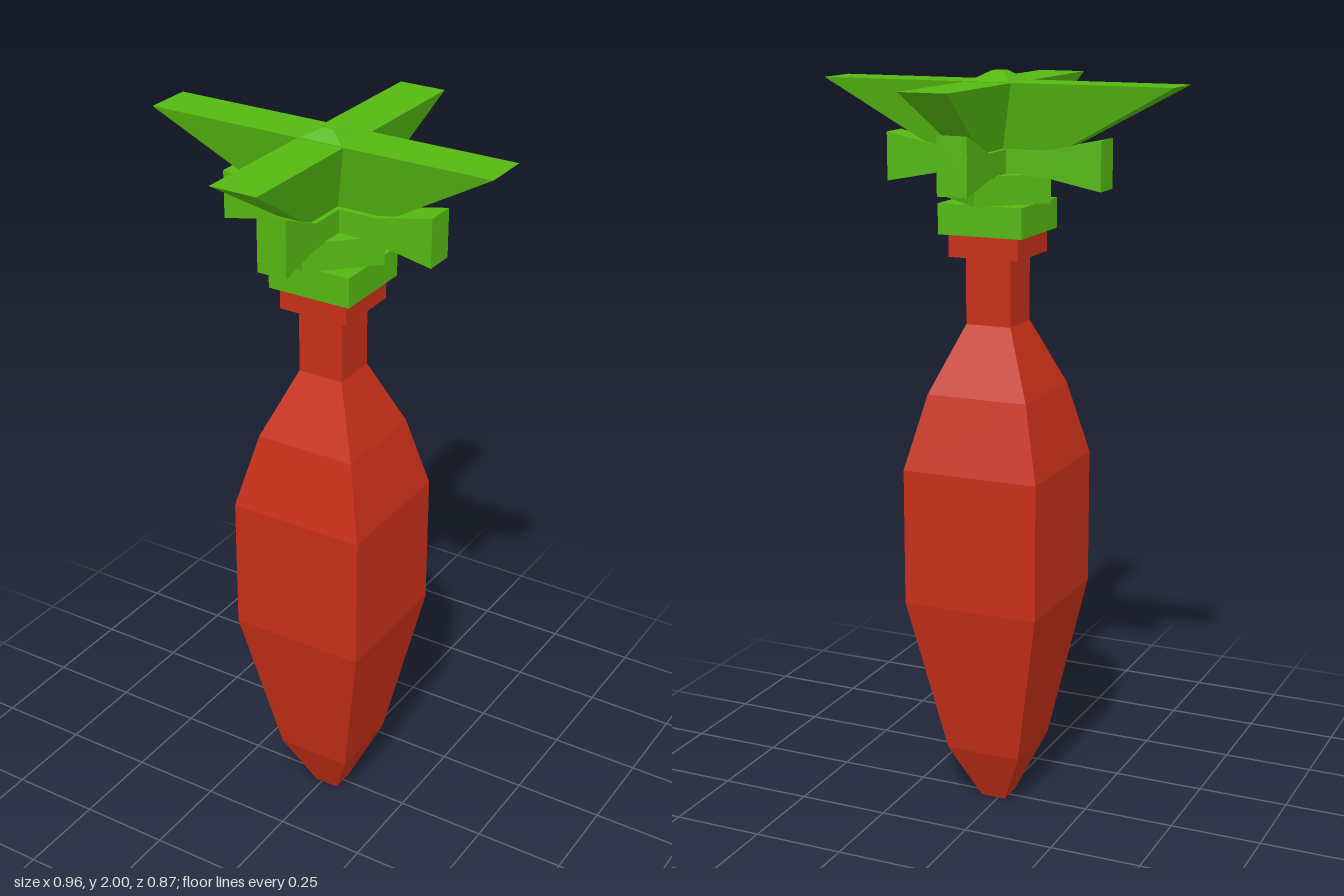
import * as THREE from 'three';

const red = new THREE.MeshStandardMaterial({ color: 0xc83018, flatShading: true });
const green = new THREE.MeshStandardMaterial({ color: 0x55b812, flatShading: true });
const CX = 0.015;

// Solid through rectangular sections [y, halfX, halfZ, offsetX, offsetZ], listed bottom to top
function loft(name, sections, material) {
  const pos = [], idx = [];
  for (const [y, hx, hz, ox = 0, oz = 0] of sections) {
    for (const [sx, sz] of [[1, 1], [1, -1], [-1, -1], [-1, 1]]) pos.push(ox + sx * hx, y, oz + sz * hz);
  }
  const n = sections.length;
  for (let s = 0; s < n - 1; s++) {
    for (let i = 0; i < 4; i++) {
      const a = s * 4 + i, b = s * 4 + (i + 1) % 4;
      idx.push(a, b, b + 4, a, b + 4, a + 4);
    }
  }
  const t = (n - 1) * 4;
  idx.push(0, 2, 1, 0, 3, 2, t, t + 1, t + 2, t, t + 2, t + 3);
  const indexed = new THREE.BufferGeometry();
  indexed.setAttribute('position', new THREE.Float32BufferAttribute(pos, 3));
  indexed.setIndex(idx);
  const geometry = indexed.toNonIndexed();
  geometry.computeVertexNormals();
  const mesh = new THREE.Mesh(geometry, material);
  mesh.name = name;
  return mesh;
}

const square = (list) => list.map(([y, h]) => [y, h, h]);

export function createModel() {
  const group = new THREE.Group();
  group.name = 'stemmedPod';

  // Four-sided swelling body with its neck
  const body = loft('body', square([
    [0, 0.035], [0.16, 0.105], [0.6, 0.189], [0.97, 0.189],
    [1.17, 0.14], [1.35, 0.063], [1.53, 0.063],
  ]), red);
  const neckRim = loft('neckRim', square([[1.53, 0.097], [1.59, 0.097]]), red);
  const collar = loft('collar', square([[1.59, 0.117], [1.67, 0.117]]), green);
  for (const part of [body, neckRim, collar]) {
    part.position.set(CX, 0, 0.003);
    group.add(part);
  }

  // Diamond-shaped seat under the leaves
  const seat = new THREE.Mesh(new THREE.CylinderGeometry(0.148, 0.148, 0.075, 4), green);
  seat.name = 'leafSeat';
  seat.position.set(CX, 1.7075, 0.003);
  group.add(seat);

  // Small leaves flaring outward, with square ends
  const leaves = [
    { angle: 0, top: 1.86, reach: 0.277 },
    { angle: Math.PI / 2, top: 1.838, reach: 0.3 },
    { angle: Math.PI, top: 1.86, reach: 0.277 },
    { angle: -Math.PI / 2, top: 1.838, reach: 0.3 },
  ];
  for (const { angle, top, reach } of leaves) {
    const mid = (top + 1.71) / 2;
    const leaf = loft('smallLeaf', [
      [0, 0.041, 0.033, 0, 1.773 * -1],
      [0.145, 0.041, 0.033, 0, 1.773 * -1],
      [reach, 0.041, (top - 1.71) / 2, 0, -mid],
    ], green);
    leaf.geometry.rotateX(Math.PI / 2);
    leaf.rotation.y = angle;
    leaf.position.set(CX, 0, 0.003);
    group.add(leaf);
  }

  // Crossed large leaves, flat above and wedge-shaped below
  group.add(loft('largeLeavesAcross', [
    [1.71, 0.012, 0.006, CX, 0], [1.975, 0.481, 0.065, 0, 0],
  ], green));
  group.add(loft('largeLeavesFrontBack', [
    [1.71, 0.006, 0.012, CX, 0], [1.974, 0.065, 0.433, CX, 0],
  ], green));

  // Low peak where the large leaves cross
  group.add(loft('peak', [
    [1.97, 0.065, 0.065, CX, 0], [2.0, 0.016, 0.016, CX, 0.015],
  ], green));

  return group;
}
